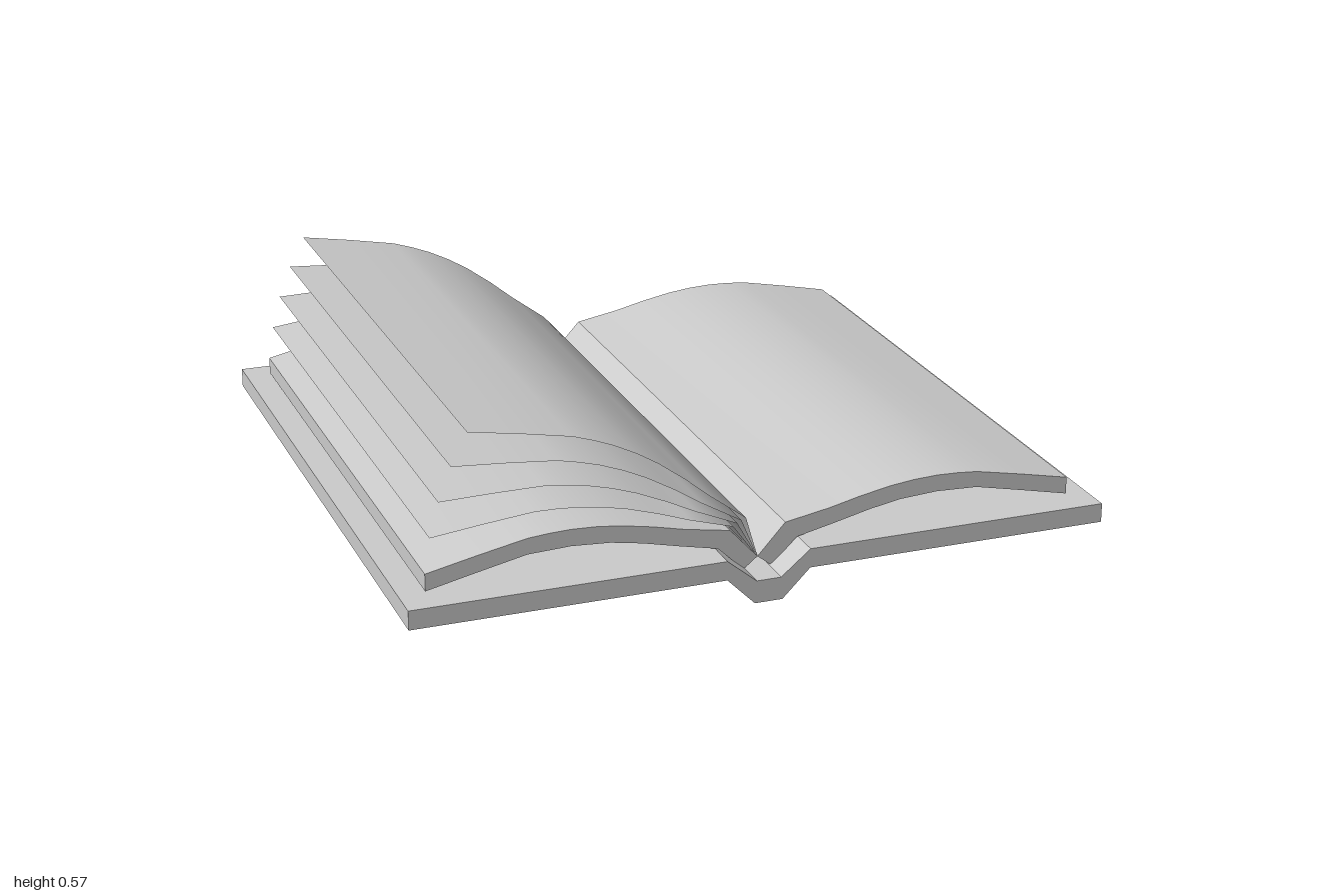
import * as THREE from 'three';
import { toCreasedNormals } from 'three/addons/utils/BufferGeometryUtils.js';

const COVER_DEPTH = 1.87, PAGE_DEPTH = 1.705;
const material = new THREE.MeshStandardMaterial({ color: 0xcccccc });
const leafMaterial = new THREE.MeshStandardMaterial({ color: 0xcccccc, side: THREE.DoubleSide });

// Upper and lower curves of the right-hand page block, from the gutter outwards
const pageTop = [[0, 0.097], [0.08, 0.185], [0.21, 0.208], [0.3, 0.229], [0.39, 0.246], [0.46, 0.254],
  [0.53, 0.257], [0.59, 0.255], [0.65, 0.25], [0.79, 0.222], [0.93, 0.192]];
const pageBottom = [[0.04, 0.065], [0.115, 0.137], [0.22, 0.16], [0.33, 0.186], [0.42, 0.202], [0.53, 0.209],
  [0.65, 0.204], [0.79, 0.174], [0.93, 0.143]];

const mirrored = (points) => points.map(([x, y]) => [-x, y]).reverse();

// Extrude an x-y profile along z, centred on z = 0
function extrudeProfile(name, points, depth, crease) {
  const shape = new THREE.Shape(points.map(([x, y]) => new THREE.Vector2(x, y)));
  const geometry = new THREE.ExtrudeGeometry(shape, { depth, bevelEnabled: false });
  geometry.translate(0, 0, -depth / 2);
  const mesh = new THREE.Mesh(toCreasedNormals(geometry, crease), material);
  mesh.name = name;
  return mesh;
}

// A single thin leaf: the page curve swung up about the gutter
function createLeaf(angle, bulge) {
  const n = pageTop.length;
  const geometry = new THREE.PlaneGeometry(1, 1, n - 1, 1);
  const pos = geometry.attributes.position;
  const [px, py] = pageTop[0];
  const c = Math.cos(angle), s = Math.sin(angle);
  for (let i = 0; i < pos.count; i++) {
    const [x, y] = pageTop[i % n];
    const dx = x - px, dy = y - py + bulge * Math.sin(Math.PI * x / 0.93);
    pos.setXYZ(i, -(dx * c - dy * s), py + dx * s + dy * c, (i < n ? 1 : -1) * PAGE_DEPTH / 2);
  }
  geometry.computeVertexNormals();
  return new THREE.Mesh(geometry, leafMaterial);
}

export function createModel() {
  const book = new THREE.Group();
  book.name = 'openBook';

  // Cover boards joined by the sunken spine
  const outer = [[0.04, 0], [0.12, 0.08], [1, 0.08]];
  const inner = [[0.035, 0.065], [0.12, 0.135], [1, 0.135]];
  book.add(extrudeProfile('cover',
    [...mirrored(outer), ...outer, ...inner.slice().reverse(), ...mirrored(inner).reverse()],
    COVER_DEPTH, 0.3));

  // Two curved page blocks
  const block = [...pageBottom, ...pageTop.slice().reverse()];
  book.add(extrudeProfile('leftPageBlock', block, PAGE_DEPTH, 0.5));
  book.add(extrudeProfile('rightPageBlock', mirrored(block), PAGE_DEPTH, 0.5));

  // Four loose leaves fanning up from one block
  const leaves = new THREE.Group();
  leaves.name = 'turningLeaves';
  for (let i = 1; i <= 4; i++) {
    const leaf = createLeaf(THREE.MathUtils.degToRad(6.13 * i), 0.004 * i);
    leaf.name = 'leaf' + i;
    leaves.add(leaf);
  }
  book.add(leaves);
  return book;
}
